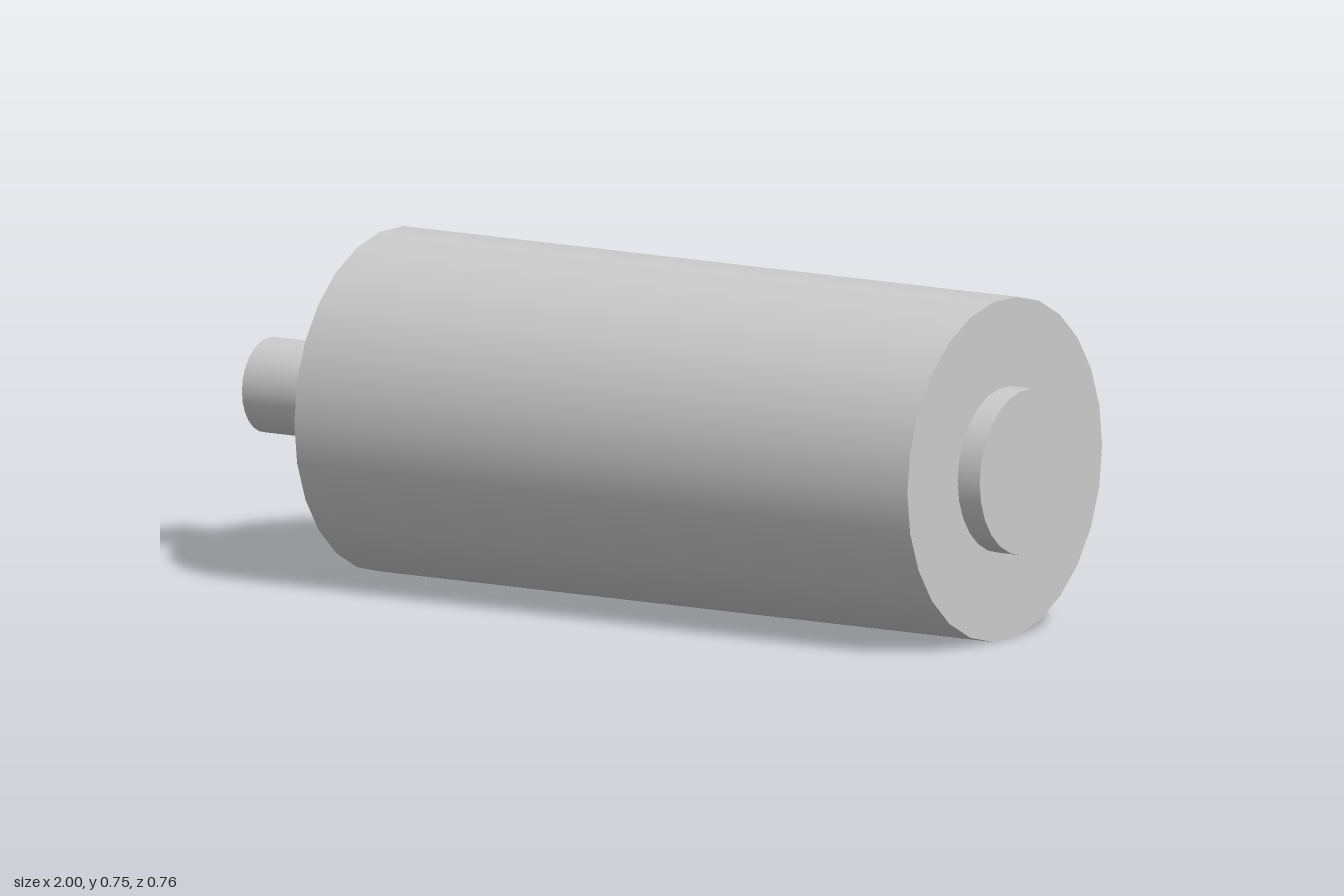
import * as THREE from 'three';

const SIDES = 26;
const AXIS_Y = 0.3765;

export function createModel() {
  const model = new THREE.Group();
  const material = new THREE.MeshStandardMaterial({ color: 0xcccccc });

  // Capped cylinder lying along x, between two x positions
  function addRod(name, radius, x0, x1) {
    const geometry = new THREE.CylinderGeometry(radius, radius, x1 - x0, SIDES);
    geometry.rotateZ(-Math.PI / 2);
    const mesh = new THREE.Mesh(geometry, material);
    mesh.name = name;
    mesh.position.set((x0 + x1) / 2, AXIS_Y, 0);
    model.add(mesh);
  }

  addRod('shaft', 0.105, -1, -0.676);
  addRod('body', 0.379, -0.676, 0.942);
  addRod('endBoss', 0.183, 0.942, 1);

  return model;
}
